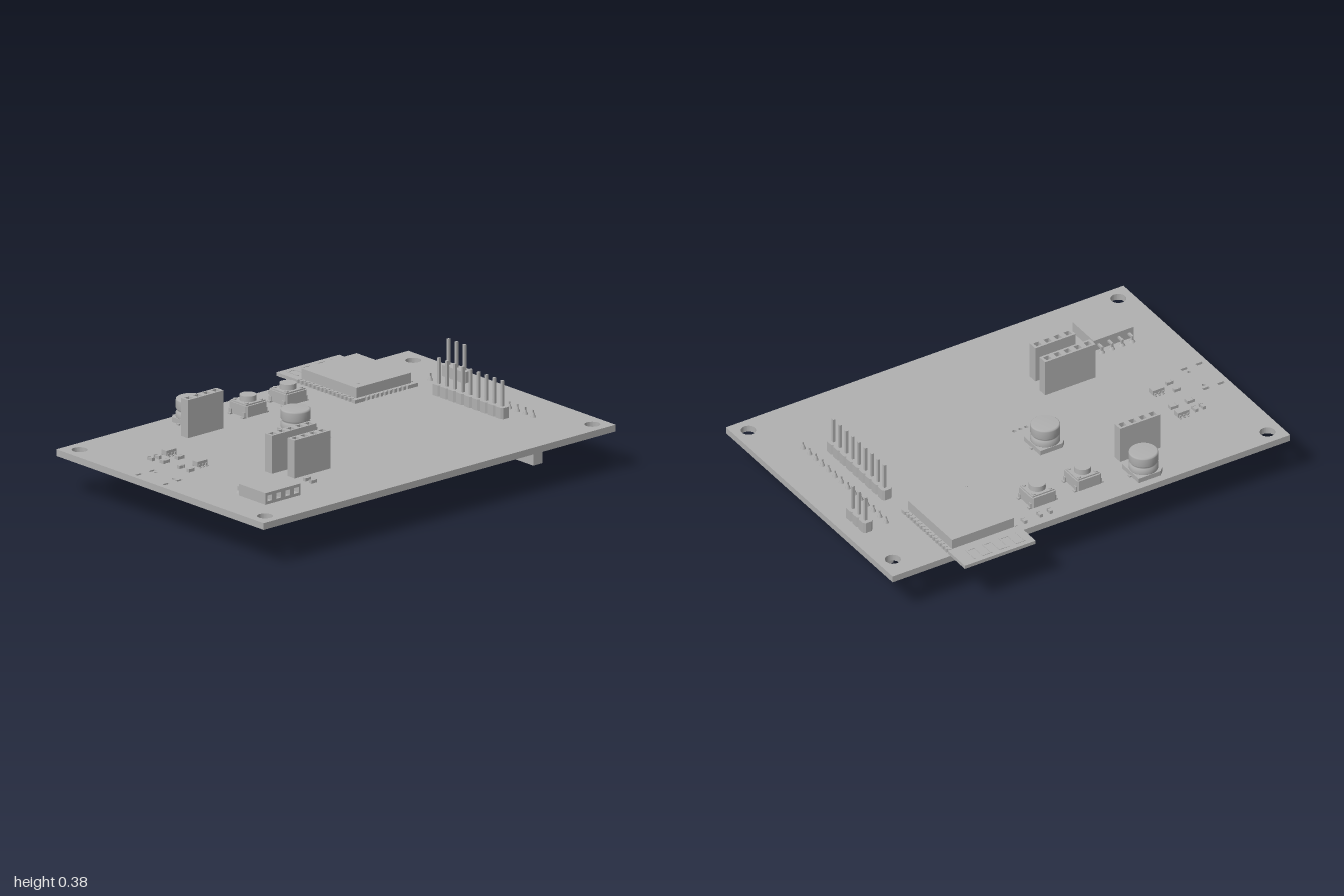
import * as THREE from 'three';

const TOP = 0.205, BOTTOM = 0.175, PITCH = 0.0508;

export function createModel() {
  const model = new THREE.Group();
  model.name = 'circuitBoard';
  const grey = new THREE.MeshStandardMaterial({ color: 0xb0b0b0 });
  grey.name = 'grey';

  // ---- helpers ----
  const group = (name, x = 0, y = 0, z = 0) => {
    const g = new THREE.Group();
    g.name = name;
    g.position.set(x, y, z);
    model.add(g);
    return g;
  };
  const add = (parent, name, geo, x = 0, y = 0, z = 0) => {
    const m = new THREE.Mesh(geo, grey);
    m.name = name;
    m.position.set(x, y, z);
    parent.add(m);
    return m;
  };
  // box whose base rests at y
  const box = (p, name, w, h, d, x, y, z) => add(p, name, new THREE.BoxGeometry(w, h, d), x, y + h / 2, z);
  const spread = (n, step = PITCH) => Array.from({ length: n }, (_, i) => (i - (n - 1) / 2) * step);
  // outlines are given in (x, z); extruded upwards
  const outline = (pts, Type = THREE.Shape) => new Type(pts.map(([x, z]) => new THREE.Vector2(x, -z)));
  const rect = (x, z, w, d, Type) => outline([[x - w / 2, z + d / 2], [x + w / 2, z + d / 2],
    [x + w / 2, z - d / 2], [x - w / 2, z - d / 2]], Type);
  const chamfered = (w, d, c) => outline([[-w / 2, d / 2 - c], [-w / 2 + c, d / 2], [w / 2 - c, d / 2], [w / 2, d / 2 - c],
    [w / 2, -d / 2 + c], [w / 2 - c, -d / 2], [-w / 2 + c, -d / 2], [-w / 2, -d / 2 + c]]);
  const extrude = (shape, h) => new THREE.ExtrudeGeometry(shape, { depth: h, bevelEnabled: false, curveSegments: 16 })
    .rotateX(-Math.PI / 2);
  const circle = (x, z, r) => new THREE.Path().absarc(x, -z, r, 0, Math.PI * 2, true);

  // ---- board with mounting holes, slots and vias ----
  const board = rect(0, 0.055, 2, 1.33);
  for (const [x, z] of [[-0.93, -0.54], [0.93, -0.5], [-0.93, 0.65], [0.93, 0.65]]) board.holes.push(circle(x, z, 0.034));
  for (const x of [-0.96, -0.885]) for (const z of [-0.123, 0.05]) board.holes.push(rect(x, z, 0.032, 0.014, THREE.Path));
  for (const z of [-0.095, 0.02]) board.holes.push(circle(-0.89, z, 0.008));
  for (const x of spread(5, 0.03)) board.holes.push(circle(x - 0.083, 0.04, 0.009));
  add(model, 'board', extrude(board, TOP - BOTTOM), 0, BOTTOM, 0);

  // ---- tall socket strips ----
  const socketStrip = (parent, n, length, width, height) => {
    const base = height * 0.45;
    box(parent, 'socketBase', length, base, width, 0, 0, 0);
    const shell = rect(0, 0, length, width);
    for (const x of spread(n)) {
      shell.holes.push(rect(x, 0, 0.026, 0.026, THREE.Path));
      box(parent, 'socketContact', 0.014, 0.03, 0.014, x, base, 0);
    }
    add(parent, 'socketShell', extrude(shell, height - base), 0, base, 0);
  };
  for (const [n, x, z] of [[4, -0.381, -0.373], [5, -0.405, 0.222], [4, -0.4, 0.333]]) {
    const g = group('socketHeader', x, TOP, z);
    socketStrip(g, n, n * PITCH, 0.046, 0.17);
    for (const px of spread(n)) box(g, 'solderTail', 0.01, 0.06, 0.006, px, -0.06, 0);
  }

  // ---- long socket under the board, with pin tips above ----
  const under = group('undersideSocket', 0.806, BOTTOM, 0.086);
  under.rotation.set(Math.PI, Math.PI / 2, 0);
  socketStrip(under, 14, 0.708, 0.052, 0.175);
  const tips = group('undersidePinTips', 0.806, TOP, 0.08);
  for (const z of spread(14)) {
    add(tips, 'solderCone', new THREE.CylinderGeometry(0.004, 0.012, 0.022, 12), 0, 0.011, z);
    box(tips, 'pinTip', 0.006, 0.033, 0.006, 0, 0, z);
  }

  // ---- upright pin headers ----
  for (const [n, x, z] of [[9, 0.707, 0.121], [3, 0.907, -0.196]]) {
    const g = group('pinHeader', x, TOP, z);
    for (const pz of spread(n)) {
      add(g, 'pinSpacer', extrude(chamfered(0.048, PITCH, 0.009), 0.05), 0, 0, pz);
      box(g, 'pin', 0.012, 0.225, 0.012, 0, -0.06, pz);
    }
  }

  // ---- wireless module: scalloped carrier, shield and antenna ----
  const radio = group('wirelessModule', 0.5325, 0, 0);
  const hw = 0.178, zBack = -0.727, zFront = -0.222, side = [];
  for (let i = 0; i < 14; i++) {
    const z = -0.585 + i * 0.0256;
    side.push([hw, z - 0.006], [hw - 0.008, z - 0.003], [hw - 0.008, z + 0.003], [hw, z + 0.006]);
  }
  const frontEdge = spread(10, 0.0256).flatMap(x => [[x - 0.006, zFront], [x - 0.003, zFront - 0.008],
    [x + 0.003, zFront - 0.008], [x + 0.006, zFront]]);
  const carrier = outline([[-hw, zBack], ...side.map(([x, z]) => [-x, z]), [-hw, zFront], ...frontEdge,
    [hw, zFront], ...side.slice().reverse(), [hw, zBack]]);
  add(radio, 'moduleCarrier', extrude(carrier, 0.016), 0, TOP + 0.001, 0);
  const shield = rect(0, -0.415, 0.312, 0.35);
  add(radio, 'shieldCan', extrude(shield, 0.048), 0, 0.22, 0);
  add(radio, 'shieldMark', new THREE.CylinderGeometry(0.007, 0.007, 0.002, 16), -0.112, 0.269, -0.28);
  for (const s of [-1, 1]) for (let i = 0; i < 14; i++)
    box(radio, 'edgePad', 0.012, 0.003, 0.012, s * 0.166, 0.2215, -0.585 + i * 0.0256);
  for (let i = 0; i < 7; i++) {
    const x = -0.14 + i * 0.042;
    box(radio, 'antennaTrace', 0.008, 0.002, 0.075, x, 0.222, -0.667);
    if (i < 6) box(radio, 'antennaTrace', 0.05, 0.002, 0.008, x + 0.021, 0.222, i % 2 ? -0.634 : -0.7);
  }

  // ---- can capacitors ----
  const canProfile = [[0, 0.02], [0.062, 0.02], [0.064, 0.026], [0.064, 0.046], [0.058, 0.052], [0.058, 0.058],
    [0.064, 0.064], [0.064, 0.1], [0.063, 0.105], [0.058, 0.109], [0, 0.109]].map(([r, y]) => new THREE.Vector2(r, y));
  for (const [x, z] of [[-0.325, -0.51], [-0.083, -0.11]]) {
    const g = group('capacitor', x, TOP, z);
    const base = outline([[-0.066, 0.045], [-0.045, 0.066], [0.066, 0.066], [0.066, -0.066], [-0.045, -0.066], [-0.066, -0.045]]);
    add(g, 'capacitorBase', extrude(base, 0.022), 0, 0.002, 0);
    add(g, 'capacitorCan', new THREE.LatheGeometry(canProfile, 40).toNonIndexed());
    for (const s of [-1, 1]) box(g, 'capacitorFoot', 0.03, 0.006, 0.014, s * 0.06, 0, 0);
  }

  // ---- push buttons ----
  for (const [x, z] of [[-0.064, -0.437], [0.167, -0.442]]) {
    const g = group('pushButton', x, TOP, z);
    add(g, 'buttonBody', extrude(chamfered(0.122, 0.116, 0.008), 0.05), 0, 0.004, 0);
    box(g, 'buttonPlate', 0.11, 0.006, 0.1, 0, 0.054, 0);
    add(g, 'buttonPlunger', new THREE.CylinderGeometry(0.036, 0.037, 0.024, 32), 0, 0.072, 0);
    for (const sx of [-1, 1]) for (const sz of [-1, 1]) {
      add(g, 'buttonRivet', new THREE.CylinderGeometry(0.008, 0.008, 0.006, 12), sx * 0.042, 0.062, sz * 0.038);
      box(g, 'buttonLeg', 0.018, 0.006, 0.016, sx * 0.064, 0, sz * 0.043);
      box(g, 'buttonLegRiser', 0.006, 0.025, 0.016, sx * 0.062, 0, sz * 0.043);
    }
  }

  // ---- side-entry plug connector ----
  const plug = group('plugConnector', -0.73, TOP, 0.455);
  const plugFace = new THREE.Shape([[-0.1, 0], [0.1, 0], [0.1, 0.052], [-0.1, 0.052]].map(p => new THREE.Vector2(...p)));
  for (const x of spread(4)) {
    plugFace.holes.push(new THREE.Path([[x - 0.013, 0.013], [x - 0.013, 0.039], [x + 0.013, 0.039], [x + 0.013, 0.013]]
      .map(p => new THREE.Vector2(...p))));
    box(plug, 'plugPin', 0.01, 0.01, 0.04, x, 0.021, -0.095);
    box(plug, 'plugPinDrop', 0.01, 0.09, 0.01, x, -0.06, -0.112);
    add(plug, 'plugSolder', new THREE.CylinderGeometry(0.007, 0.014, 0.012, 12), x, 0.006, -0.112);
    box(plug, 'plugContact', 0.012, 0.012, 0.03, x, 0.02, 0.02);
  }
  add(plug, 'plugShell', new THREE.ExtrudeGeometry(plugFace, { depth: 0.08, bevelEnabled: false }), 0, 0, 0.005);
  box(plug, 'plugBack', 0.2, 0.052, 0.09, 0, 0, -0.04);

  // ---- small chip parts: x, z, width, depth ----
  for (const [x, z, w, d] of [[0.175, -0.555, 0.016, 0.03], [0.226, -0.555, 0.016, 0.03], [0.307, -0.56, 0.016, 0.03],
    [-0.795, -0.235, 0.016, 0.034], [-0.757, -0.235, 0.016, 0.034], [-0.773, -0.17, 0.038, 0.024], [-0.69, -0.17, 0.038, 0.024],
    [-0.77, -0.07, 0.032, 0.016], [-0.77, -0.01, 0.032, 0.016], [-0.48, 0.41, 0.032, 0.016], [-0.48, 0.45, 0.032, 0.016]]) {
    const g = group('chipPart', x, TOP, z), alongX = w > d;
    box(g, 'chipBody', alongX ? w * 0.6 : w * 0.9, 0.013, alongX ? d * 0.9 : d * 0.6, 0, 0, 0);
    for (const s of [-1, 1]) alongX
      ? box(g, 'chipEnd', w * 0.22, 0.015, d, s * w * 0.39, 0, 0)
      : box(g, 'chipEnd', w, 0.015, d * 0.22, 0, 0, s * d * 0.39);
  }

  // ---- six-legged transistors ----
  for (const z of [-0.237, -0.038]) {
    const g = group('transistor', -0.69, TOP, z);
    box(g, 'transistorBody', 0.058, 0.022, 0.032, 0, 0.005, 0);
    for (const x of spread(3, 0.019)) for (const s of [-1, 1]) {
      box(g, 'transistorLeg', 0.009, 0.014, 0.006, x, 0, s * 0.018);
      box(g, 'transistorFoot', 0.009, 0.004, 0.008, x, 0, s * 0.022);
    }
  }
  return model;
}
